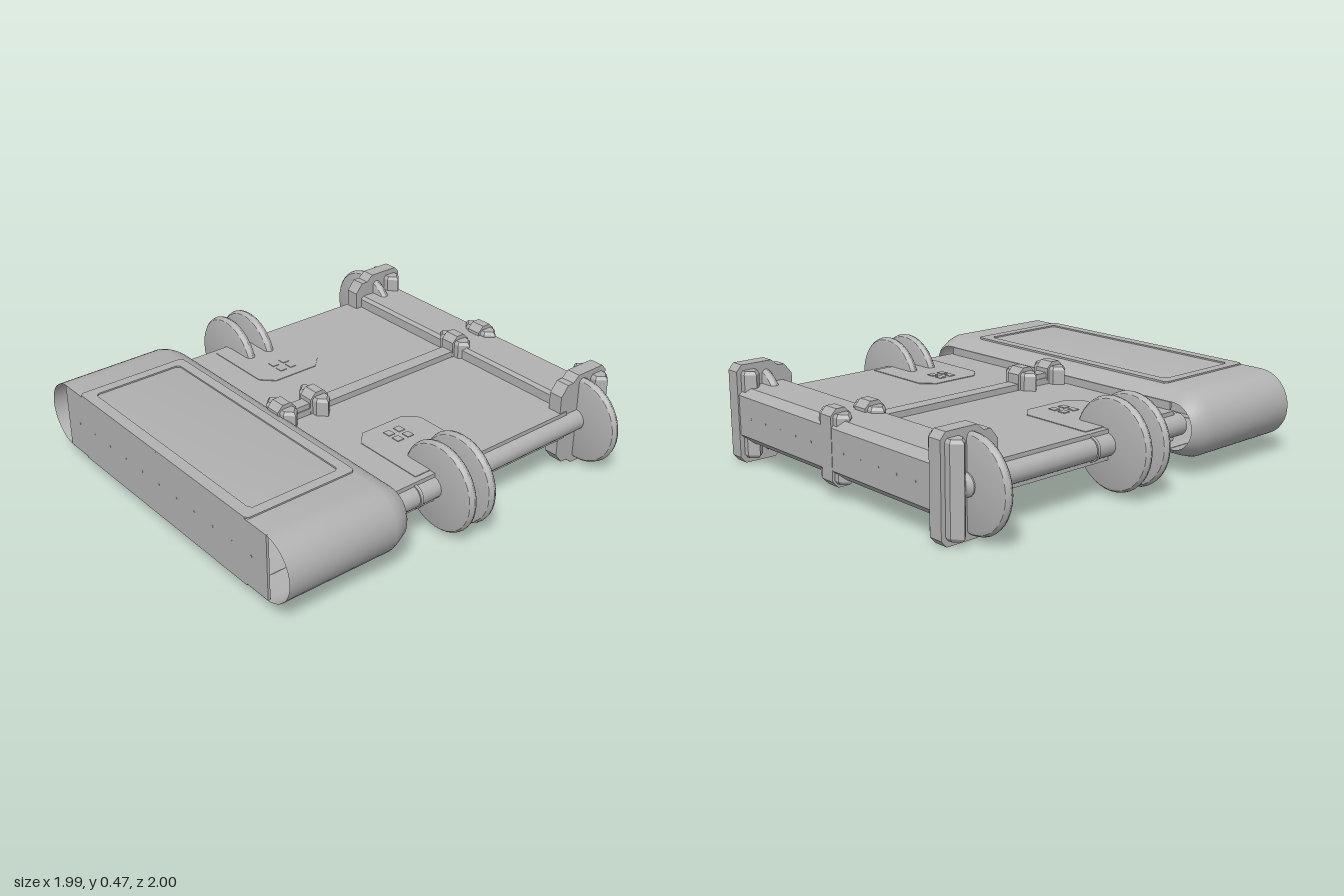
import * as THREE from 'three';
import { toCreasedNormals } from 'three/addons/utils/BufferGeometryUtils.js';

const MID = 0.245; // height of the horizontal symmetry plane

export function createModel() {
  const model = new THREE.Group();
  model.name = 'model';
  const grey = new THREE.MeshStandardMaterial({ color: 0xb2b2b2, side: THREE.DoubleSide });
  grey.name = 'hull grey';

  const add = (geo, name, x = 0, y = 0, z = 0, parent = model) => {
    const m = new THREE.Mesh(geo, grey);
    m.name = name;
    m.position.set(x, y, z);
    parent.add(m);
    return m;
  };
  const box = (w, h, d, name, x, y, z) => add(new THREE.BoxGeometry(w, h, d), name, x, y, z);
  const shapeOf = pts => new THREE.Shape(pts.map(p => new THREE.Vector2(p[0], p[1])));
  // rectangle with cut corners
  const cutRect = (a0, a1, b0, b1, c) => [[a0 + c, b0], [a1 - c, b0], [a1, b0 + c], [a1, b1 - c],
    [a1 - c, b1], [a0 + c, b1], [a0, b1 - c], [a0, b0 + c]];
  // (z, y) profile extruded along x, centred
  const alongX = (pts, w) => new THREE.ExtrudeGeometry(shapeOf(pts.map(p => [-p[0], p[1]])),
    { depth: w, bevelEnabled: false }).translate(0, 0, -w / 2).rotateY(Math.PI / 2);
  // (x, z) plan extruded upward from y = 0
  const alongY = (shape, h) => new THREE.ExtrudeGeometry(shape, { depth: h, bevelEnabled: false })
    .rotateX(-Math.PI / 2);
  // bar with softened ends, upright, hexagonal in plan
  const lug = h => {
    const g = new THREE.ExtrudeGeometry(
      shapeOf([[-0.09, 0], [-0.06, -0.03], [0.06, -0.03], [0.09, 0], [0.06, 0.03], [-0.06, 0.03]]),
      { depth: h - 0.03, bevelThickness: 0.015, bevelSize: 0.01, bevelSegments: 1 });
    return g.rotateX(-Math.PI / 2).translate(0, -(h - 0.03) / 2, 0);
  };

  // Front pod: lofted stadium cross-sections, open at the rounded front ends
  const sections = [[1, 0.925, 0.16], [0.45, 0.93, 0.16], [0.41, 0.918, 0.148], [0.37, 0.9, 0.125], [0.35, 0.88, 0.11]];
  const N = 16, ring = 2 * (N + 1), pos = [], idx = [];
  for (const [z, outer, r] of sections) {
    for (let side = 0; side < 2; side++) {
      for (let i = 0; i <= N; i++) {
        const a = -Math.PI / 2 + Math.PI * (i / N + side);
        pos.push((side ? -1 : 1) * (outer - r) + r * Math.cos(a), MID + r * Math.sin(a), z);
      }
    }
  }
  for (let s = 0; s < sections.length - 1; s++) {
    for (let i = 0; i < ring; i++) {
      const j = (i + 1) % ring, a = s * ring, b = a + ring;
      idx.push(a + i, b + j, b + i, a + i, a + j, b + j);
    }
  }
  const loft = new THREE.BufferGeometry();
  loft.setAttribute('position', new THREE.Float32BufferAttribute(pos, 3));
  loft.setIndex(idx);
  add(toCreasedNormals(loft, 0.4), 'frontPod');
  box(1.56, 0.318, 0.012, 'podFrontPanel', 0, MID, 0.994);
  box(1.5, 0.215, 0.01, 'podRearWall', 0, MID, 0.357);

  // Low frames on the pod's top and bottom
  const frame = shapeOf(cutRect(-0.65, 0.65, -1, -0.44, 0.015));
  frame.holes.push(shapeOf(cutRect(-0.6, 0.6, -0.945, -0.49, 0.015)));
  add(alongY(frame, 0.009), 'podTopFrame', 0, MID + 0.158, 0);
  add(alongY(frame, 0.009), 'podBottomFrame', 0, MID - 0.167, 0);

  // Deck slab and the rods on its centre line
  box(1.54, 0.14, 1.1, 'deck', 0, MID, -0.19);
  for (const s of [1, -1]) {
    add(alongX(cutRect(-0.76, 0.36, -0.02, 0.02, 0.008), 0.07), 'centreRod', 0, MID + s * 0.08, 0);
  }

  // Rear beam with bevelled long edges
  add(alongX([[-0.99, 0.15], [-0.955, 0.115], [-0.75, 0.115], [-0.735, 0.13],
    [-0.735, 0.36], [-0.75, 0.375], [-0.955, 0.375], [-0.99, 0.34]], 1.42), 'rearBeam');

  // Centre clamps
  for (const z of [-0.94, -0.76, 0.14, 0.33]) {
    add(alongX(cutRect(-0.052, 0.052, 0.07, 0.42, 0.03), 0.075), 'centreClamp', 0, 0, z);
    add(lug(0.31), 'centreClampLug', 0, MID, z);
  }
  box(0.06, 0.25, 0.14, 'clampLink', 0, MID, 0.235);

  for (const s of [1, -1]) {
    // Corner brackets, stepped in side profile
    add(alongX([[-0.97, 0.01], [-0.81, 0.01], [-0.775, 0.04], [-0.74, 0.04], [-0.7, 0.09], [-0.7, 0.4],
      [-0.74, 0.45], [-0.775, 0.45], [-0.81, 0.48], [-0.97, 0.48], [-0.997, 0.45], [-0.997, 0.04]], 0.07),
    'cornerBracket', s * 0.73, 0, 0);
    add(lug(0.415), 'cornerBracketLug', s * 0.73, MID, -0.935);

    // Side tube with collars and a pointed tip
    const tube = [[0, -0.915], [0.052, -0.87], [0.052, -0.18], [0.058, -0.18], [0.058, -0.165], [0.052, -0.165],
      [0.052, 0.2], [0.058, 0.2], [0.058, 0.215], [0.052, 0.215], [0.052, 0.4]];
    const tubeGeo = new THREE.LatheGeometry(tube.map(p => new THREE.Vector2(p[0], p[1])), 20).rotateX(Math.PI / 2);
    add(toCreasedNormals(tubeGeo, 0.5), 'sideTube', s * 0.762, MID, 0);

    // Discs with rounded rims
    const disc = [[0, -0.024], [0.19, -0.024], [0.203, -0.02], [0.211, -0.011], [0.214, 0],
      [0.211, 0.011], [0.203, 0.02], [0.19, 0.024], [0, 0.024]];
    for (const z of [-0.84, -0.045, 0.07]) {
      const g = new THREE.LatheGeometry(disc.map(p => new THREE.Vector2(p[0], p[1])), 40).rotateX(Math.PI / 2);
      add(toCreasedNormals(g, 0.5), 'disc', s * 0.78, MID, z);
    }

    // Thin access plates with small hatches, above and below the deck
    const plate = alongY(shapeOf([[0.38, -0.18], [0.74, -0.18], [0.74, 0.18], [0.38, 0.18], [0.32, 0.12], [0.32, -0.12]]
      .map(p => [s * p[0], p[1]])), 0.005);
    for (const v of [1, -1]) {
      add(plate, 'accessPlate', 0, MID + v * 0.071 - 0.0025, 0);
      for (const x of [0.4, 0.46]) {
        for (const z of [-0.03, 0.03]) box(0.04, 0.006, 0.035, 'hatch', s * x, MID + v * 0.074, z);
      }
    }
  }

  // Rivets along the pod front and the beam back
  const rivet = new THREE.CylinderGeometry(0.005, 0.005, 0.004, 8).rotateX(Math.PI / 2);
  for (let i = -5; i <= 5; i++) {
    add(rivet, 'podRivet', i * 0.135, MID, 1);
    if (i) add(rivet, 'beamRivet', i * 0.12, MID, -0.99);
  }
  return model;
}
